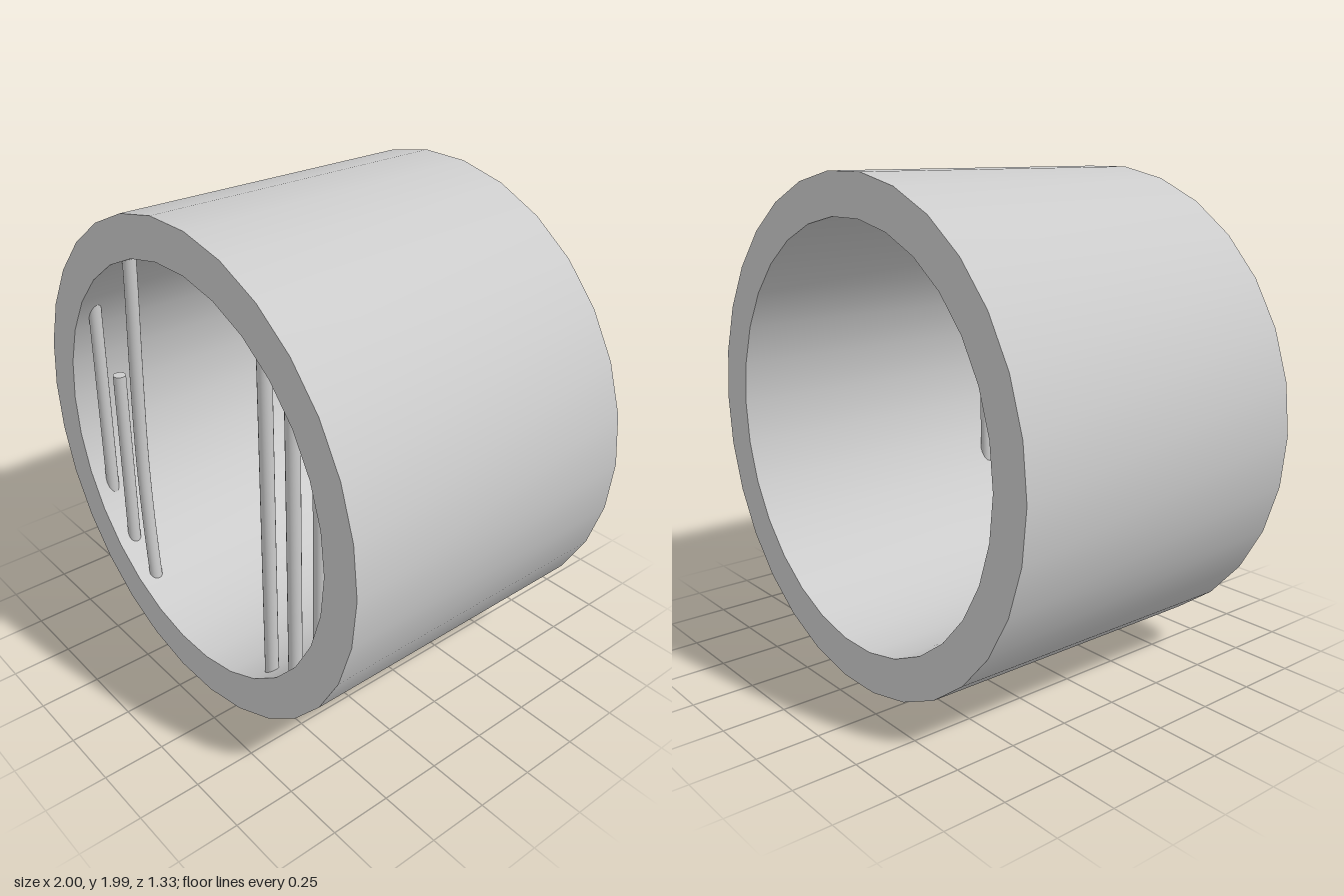
import * as THREE from 'three';
import { toCreasedNormals } from 'three/addons/utils/BufferGeometryUtils.js';

const OUTER = 1, INNER = 0.835, HALF_DEPTH = 0.665, SIDES = 30;
const BAR_RADIUS = 0.027, BAR_Z = 0.585, ANCHOR = 0.9, CENTER_Y = 1;

// regular polygon outline
function ringPoints(radius) {
  return Array.from({ length: SIDES }, (_, i) => {
    const a = (i / SIDES) * Math.PI * 2;
    return new THREE.Vector2(Math.cos(a) * radius, Math.sin(a) * radius);
  });
}

export function createModel() {
  const group = new THREE.Group();
  const material = new THREE.MeshStandardMaterial({ color: 0xcccccc });

  const add = (name, geometry, x, y, z) => {
    const mesh = new THREE.Mesh(geometry, material);
    mesh.name = name;
    mesh.position.set(x, y, z);
    group.add(mesh);
  };

  // thick open pipe, lying along z
  const shape = new THREE.Shape(ringPoints(OUTER));
  shape.holes.push(new THREE.Path(ringPoints(INNER)));
  const pipe = new THREE.ExtrudeGeometry(shape, { depth: HALF_DEPTH * 2, bevelEnabled: false });
  add('pipe', toCreasedNormals(pipe, 0.6), 0, CENTER_Y, -HALF_DEPTH);

  // upright bars near the front, ends buried in the pipe wall
  const addBar = (name, x, top) => {
    const reach = Math.sqrt(ANCHOR * ANCHOR - x * x);
    const y0 = CENTER_Y - reach, y1 = top ?? CENTER_Y + reach;
    const bar = new THREE.CylinderGeometry(BAR_RADIUS, BAR_RADIUS, y1 - y0, 20);
    add(name, bar, x, (y0 + y1) / 2, BAR_Z);
  };
  [0.427, 0.575, 0.722, -0.727].forEach((x, i) => addBar(`bar${i + 1}`, x));
  addBar('brokenBar', -0.572, 1.18);

  // bar bowed outwards
  const bend = new THREE.CatmullRomCurve3([
    [-0.408, 1.8], [-0.414, 1.6], [-0.431, 1.25], [-0.442, 0.85], [-0.432, 0.55], [-0.405, 0.21],
  ].map(([x, y]) => new THREE.Vector3(x, y, 0)));
  add('bentBar', new THREE.TubeGeometry(bend, 32, BAR_RADIUS, 20), 0, 0, BAR_Z);

  return group;
}
